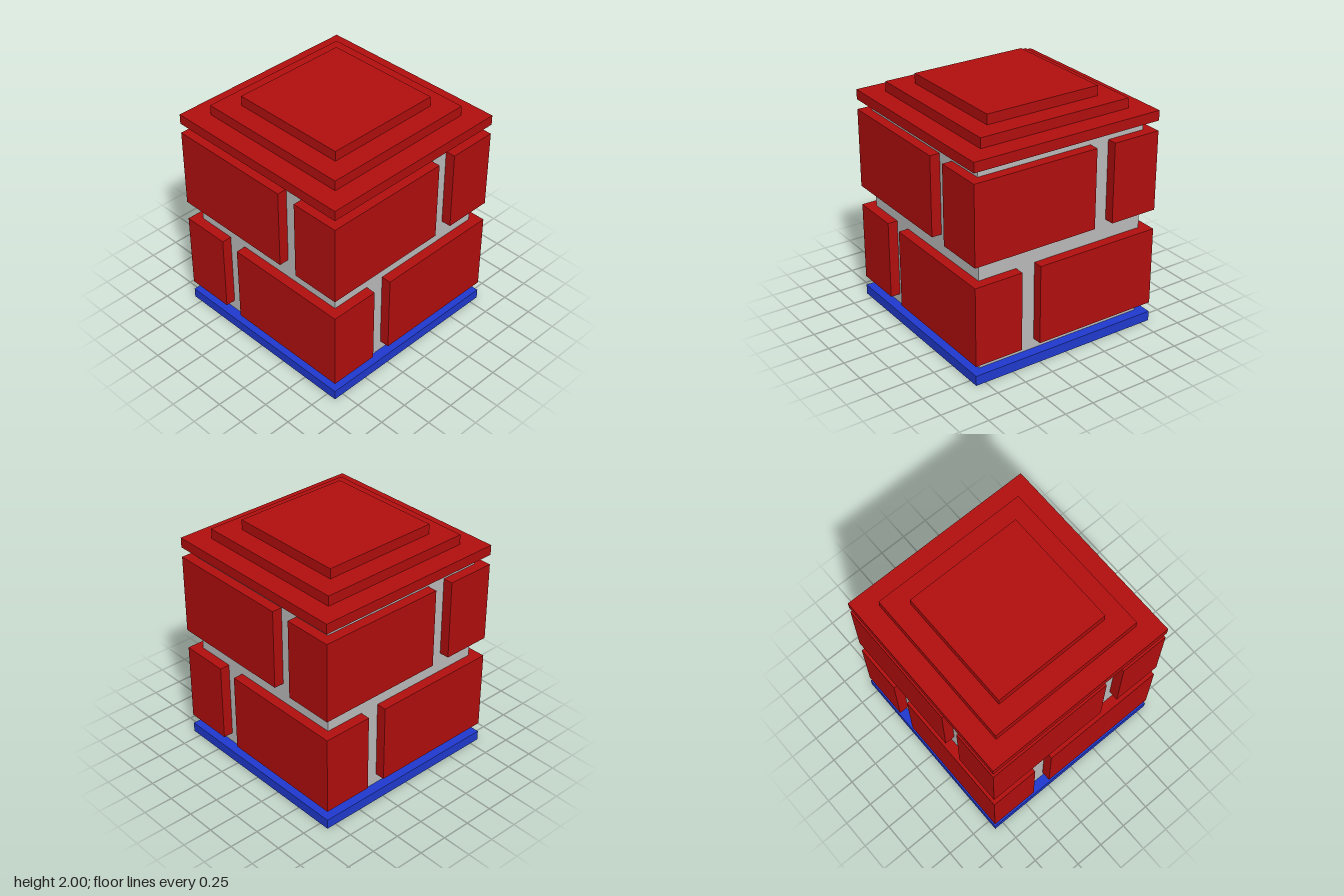
import * as THREE from 'three';

const U = 1 / 12; // the whole block sits on a grid of twelfths

export function createModel() {
  const group = new THREE.Group();
  const brickRed = new THREE.MeshStandardMaterial({ name: 'brickRed', color: 0xb20e0e });
  const mortarGrey = new THREE.MeshStandardMaterial({ name: 'mortarGrey', color: 0xbbbbbb });
  const baseBlue = new THREE.MeshStandardMaterial({ name: 'baseBlue', color: 0x2039cf });

  const add = (name, geometry, material) => {
    const mesh = new THREE.Mesh(geometry, material);
    mesh.name = name;
    group.add(mesh);
    return mesh;
  };

  // Square slab of the given half width between two heights
  const slab = (name, half, y0, y1, material) => {
    const geometry = new THREE.BoxGeometry(2 * half * U, (y1 - y0) * U, 2 * half * U);
    geometry.translate(0, (y0 + y1) / 2 * U, 0);
    return add(name, geometry, material);
  };

  // L-shaped brick wrapping the +x +z corner, reaching x0 on the front and z0 on the side
  const cornerBrick = (x0, z0, y0, y1) => {
    const outline = [[x0, 10], [x0, 9], [9, 9], [9, z0], [10, z0], [10, 10]];
    const shape = new THREE.Shape(outline.map(([x, z]) => new THREE.Vector2(x * U, z * U)));
    const geometry = new THREE.ExtrudeGeometry(shape, { depth: (y1 - y0) * U, bevelEnabled: false });
    geometry.rotateX(Math.PI / 2); // shape y becomes z, depth runs downward
    geometry.translate(0, y1 * U, 0);
    return geometry;
  };

  // Base, mortar core and stepped cap
  slab('basePlate', 10, 0, 1, baseBlue);
  slab('mortarCore', 9, 1, 21, mortarGrey);
  slab('capLower', 10, 21, 22, brickRed);
  slab('capMiddle', 8, 22, 23, brickRed);
  slab('capUpper', 6, 23, 24, brickRed);

  // Two brick courses, each with four corner bricks
  const courses = [
    ['lowerBrick', cornerBrick(-3, 5, 2, 10)],
    ['upperBrick', cornerBrick(5, -3, 12, 20)],
  ];
  for (const [name, geometry] of courses) {
    for (let i = 0; i < 4; i++) {
      add(name + (i + 1), geometry, brickRed).rotation.y = i * Math.PI / 2;
    }
  }
  return group;
}
